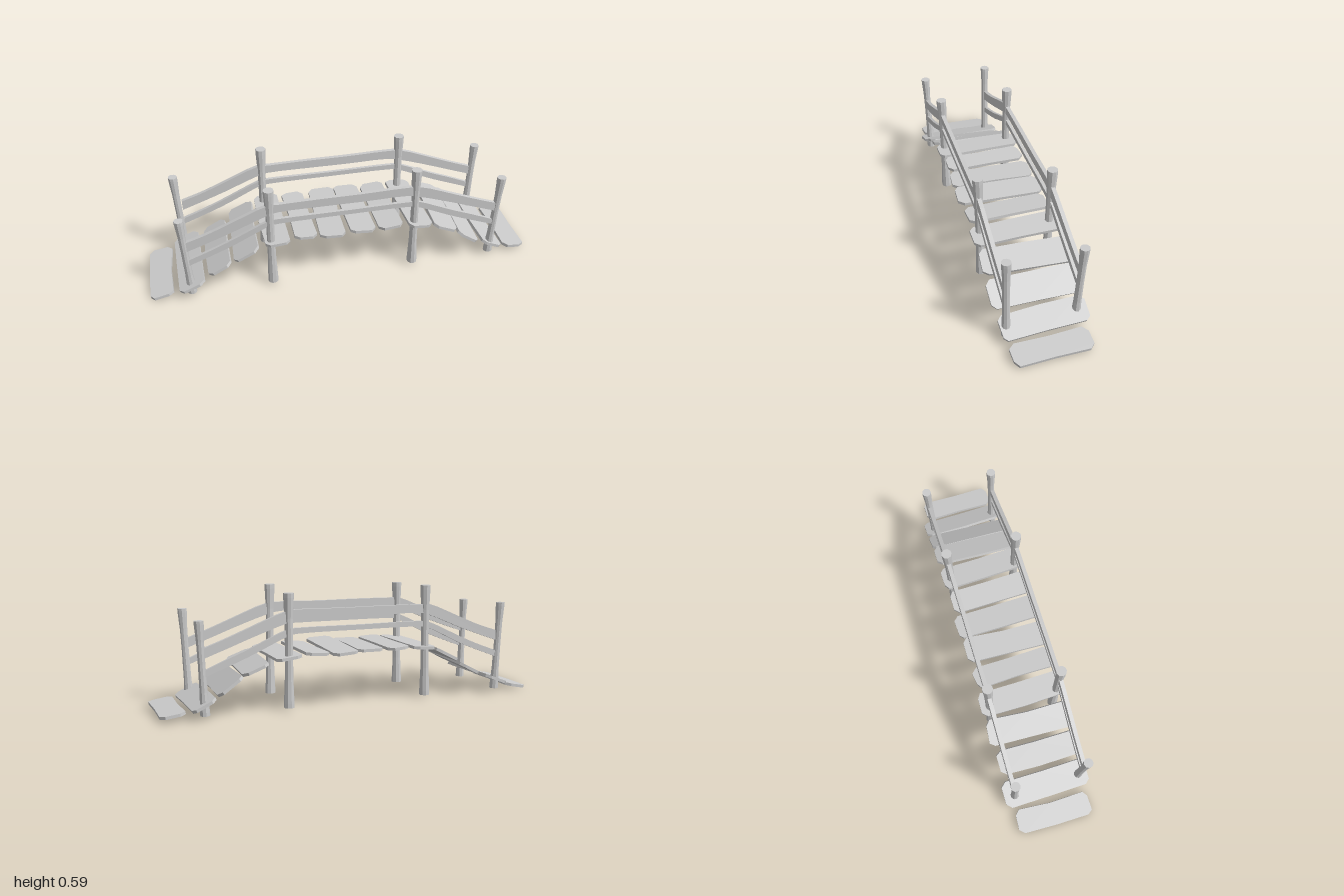
import * as THREE from 'three';

const material = new THREE.MeshStandardMaterial({ color: 0xcccccc, flatShading: true });

// Small seeded generator for hand-cut irregularity, in -1..1
function makeJitter(seed) {
  let s = seed;
  return (amount) => {
    s = (s * 16807) % 2147483647;
    return (s / 2147483647 * 2 - 1) * amount;
  };
}

// Each plank: x start, x end, y start, y end, z back, z front, roll (front end up), skew of front end in x
const PLANKS = [
  [-1.00, -0.88, 0.012, 0.035, -0.20, 0.19, 0.00, -0.005],
  [-0.855, -0.725, 0.05, 0.10, -0.225, 0.22, 0.00, 0.006],
  [-0.695, -0.58, 0.12, 0.18, -0.21, 0.21, 0.04, -0.008],
  [-0.56, -0.435, 0.195, 0.26, -0.222, 0.213, 0.00, -0.012],
  [-0.41, -0.285, 0.272, 0.280, -0.225, 0.217, 0.00, 0.010],
  [-0.26, -0.145, 0.285, 0.280, -0.21, 0.203, 0.01, 0.010],
  [-0.12, 0.01, 0.280, 0.281, -0.213, 0.213, -0.01, -0.014],
  [0.025, 0.155, 0.287, 0.280, -0.225, 0.222, 0.033, 0.008],
  [0.175, 0.30, 0.276, 0.285, -0.21, 0.203, 0.00, 0.014],
  [0.325, 0.455, 0.279, 0.265, -0.224, 0.218, 0.005, 0.014],
  [0.475, 0.605, 0.255, 0.205, -0.218, 0.214, 0.01, -0.012],
  [0.61, 0.73, 0.195, 0.11, -0.222, 0.218, -0.02, -0.006],
  [0.75, 0.865, 0.10, 0.045, -0.224, 0.203, -0.015, 0.016],
  [0.885, 1.00, 0.040, 0.025, -0.195, 0.19, -0.01, 0.004],
];

function makePlank([x0, x1, y0, y1, zBack, zFront, roll, skew], index) {
  const jitter = makeJitter(index * 977 + 31);
  const w = Math.hypot(x1 - x0, y1 - y0) / 2;
  const l = (zFront - zBack) / 2;
  const c = 0.024, t = 0.015;

  // Chamfered outline with slightly wavering long edges
  const outline = [
    [-w + c, -l], [w - c, -l], [w, -l + c], [w + jitter(0.004), 0],
    [w, l - c], [w - c, l], [-w + c, l], [-w, l - c], [-w + jitter(0.004), 0], [-w, -l + c],
  ].map(([x, y]) => new THREE.Vector2(x + jitter(0.004), y + jitter(0.004)));

  const geometry = new THREE.ExtrudeGeometry(new THREE.Shape(outline), { depth: t, bevelEnabled: false });
  geometry.translate(0, 0, -t / 2).rotateX(-Math.PI / 2);
  const mesh = new THREE.Mesh(geometry, material);
  mesh.name = 'plank' + (index + 1);
  mesh.position.set((x0 + x1) / 2, (y0 + y1) / 2, (zBack + zFront) / 2);
  mesh.rotation.set(-roll, skew / (2 * l), Math.atan2(y1 - y0, x1 - x0), 'YXZ');
  return mesh;
}

// Faceted post, flared at both ends, leaning from its foot to its head
function makePost(name, foot, head, radius, turn) {
  const profile = [
    [0, 0], [1, 0], [0.98, 0.04], [0.8, 0.25], [0.74, 0.55], [0.78, 0.78], [0.97, 0.96], [0.98, 1], [0, 1],
  ].map(([r, t]) => new THREE.Vector2(r * radius, t));
  const geometry = new THREE.LatheGeometry(profile, 9);
  geometry.rotateY(turn);
  const pos = geometry.attributes.position;
  for (let i = 0; i < pos.count; i++) {
    const t = pos.getY(i);
    pos.setXYZ(i,
      pos.getX(i) + THREE.MathUtils.lerp(foot[0], head[0], t),
      THREE.MathUtils.lerp(foot[1], head[1], t),
      pos.getZ(i) + THREE.MathUtils.lerp(foot[2], head[2], t));
  }
  geometry.computeVertexNormals();
  const mesh = new THREE.Mesh(geometry, material);
  mesh.name = name;
  return mesh;
}

// Bent board running through all the posts of one side: points are x, bottom y, top y
function makeRail(name, points, thickness, z) {
  const bottom = new THREE.SplineCurve(points.map(([x, b]) => new THREE.Vector2(x, b))).getPoints(28);
  const top = new THREE.SplineCurve(points.map(([x, , t]) => new THREE.Vector2(x, t))).getPoints(28);
  const shape = new THREE.Shape([...bottom, ...top.reverse()]);
  const geometry = new THREE.ExtrudeGeometry(shape, { depth: thickness, bevelEnabled: false });
  geometry.translate(0, 0, z - thickness / 2);
  const mesh = new THREE.Mesh(geometry, material);
  mesh.name = name;
  return mesh;
}

const UPPER_RAIL = [
  [-0.79, 0.288, 0.342], [-0.68, 0.327, 0.378], [-0.56, 0.372, 0.428], [-0.40, 0.438, 0.495],
  [-0.32, 0.457, 0.500], [-0.12, 0.457, 0.502], [0.10, 0.455, 0.501], [0.30, 0.456, 0.504],
  [0.40, 0.435, 0.494], [0.56, 0.380, 0.432], [0.68, 0.335, 0.384], [0.81, 0.288, 0.336],
];
const LOWER_RAIL = [
  [-0.79, 0.198, 0.232], [-0.68, 0.240, 0.273], [-0.56, 0.290, 0.325], [-0.40, 0.368, 0.400],
  [-0.32, 0.386, 0.414], [0.00, 0.388, 0.413], [0.32, 0.386, 0.414],
  [0.40, 0.368, 0.402], [0.56, 0.296, 0.332], [0.68, 0.248, 0.284], [0.81, 0.198, 0.228],
];

export function createModel() {
  const model = new THREE.Group();
  model.name = 'footbridge';

  // Walkway
  const deck = new THREE.Group();
  deck.name = 'deck';
  PLANKS.forEach((plank, i) => deck.add(makePlank(plank, i)));
  model.add(deck);

  // Posts and rails; the back side is the front side's posts turned half round
  for (const side of [1, -1]) {
    const railing = new THREE.Group();
    const label = side > 0 ? 'front' : 'back';
    railing.name = label + 'Railing';
    const z = side * 0.18;
    const post = (name, footX, headX, height, radius, turn) => railing.add(makePost(
      label + name, [footX * side, 0.02, side * 0.172], [headX * side, height, side * 0.181], radius, turn));
    post('OuterPostA', 0.80, 0.82, 0.49, 0.024, 0.1);
    post('OuterPostB', -0.79, -0.81, 0.472, 0.024, 0.4);
    post('InnerPostA', 0.37, 0.363, 0.598, 0.027, 0.2);
    post('InnerPostB', -0.375, -0.375, 0.584, 0.027, 0.5);
    railing.add(makeRail(label + 'UpperRail', UPPER_RAIL, 0.02, z));
    railing.add(makeRail(label + 'LowerRail', LOWER_RAIL, 0.016, z));
    model.add(railing);
  }
  return model;
}
